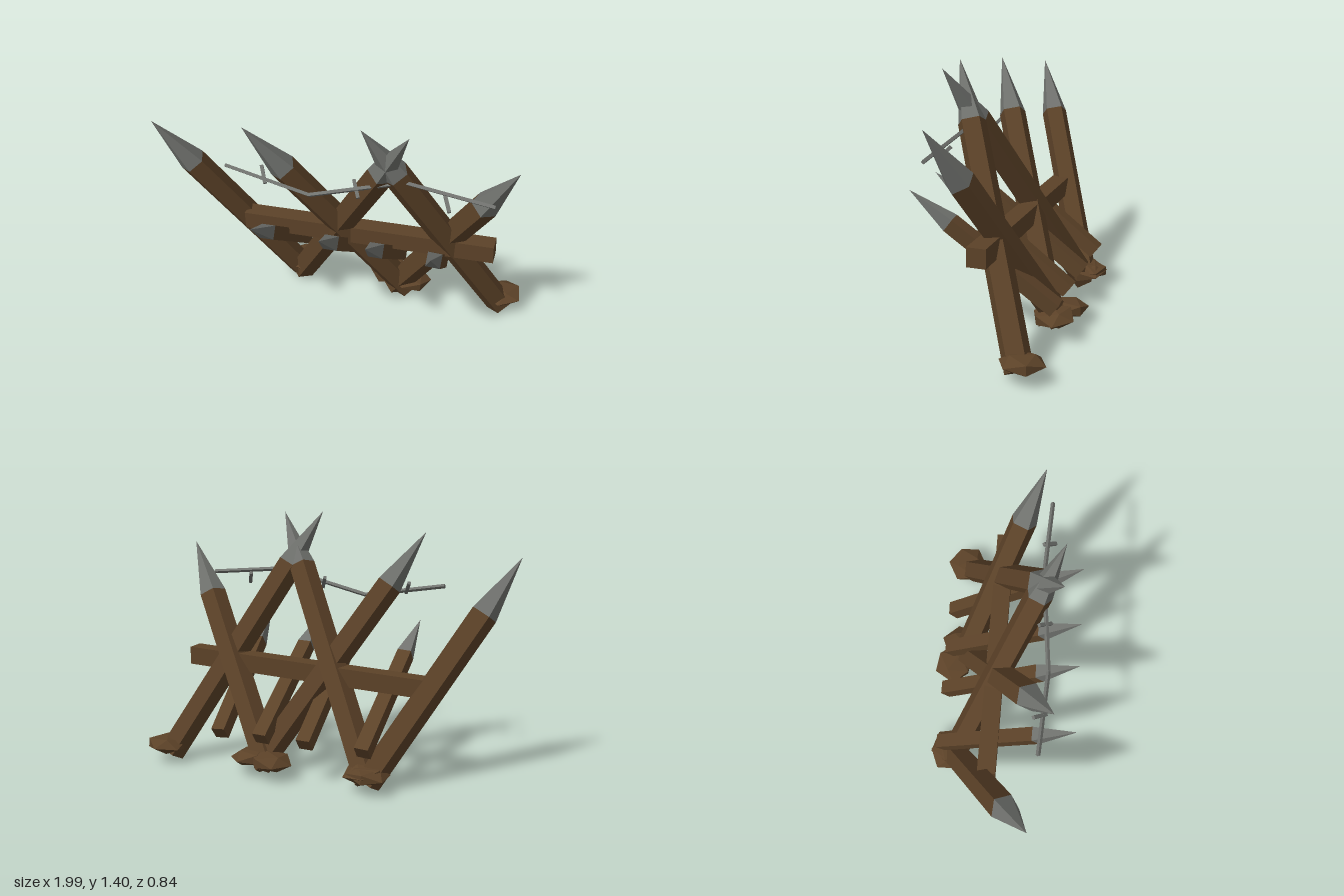
import * as THREE from 'three';

const wood = new THREE.MeshStandardMaterial({ color: 0x5c4228, flatShading: true, name: 'wood' });
const metal = new THREE.MeshStandardMaterial({ color: 0x70726e, flatShading: true, name: 'metal' });
const UP = new THREE.Vector3(0, 1, 0);
const vec = (p) => new THREE.Vector3(...p);

// Place a y-aligned geometry between two points
function between(geometry, material, a, b, name) {
  const mesh = new THREE.Mesh(geometry, material);
  mesh.position.copy(a).add(b).multiplyScalar(0.5);
  mesh.quaternion.setFromUnitVectors(UP, b.clone().sub(a).normalize());
  mesh.name = name;
  return mesh;
}

// Wooden shaft with a metal point
function stake(from, to, radius, tipLength, sides, turn, name) {
  const group = new THREE.Group();
  group.name = name;
  const a = vec(from), b = vec(to);
  const shoulder = b.clone().addScaledVector(b.clone().sub(a).normalize(), -tipLength);
  const shaft = new THREE.CylinderGeometry(radius, radius, a.distanceTo(shoulder), sides).rotateY(turn);
  const tip = new THREE.ConeGeometry(radius, tipLength, sides).rotateY(turn);
  group.add(between(shaft, wood, a, shoulder, 'shaft'), between(tip, metal, shoulder, b, 'tip'));
  return group;
}

export function createModel() {
  const model = new THREE.Group();
  model.name = 'barricade';

  // Large crossed stakes
  const large = [
    [[-0.33, 0.035, -0.28], [-1.0, 1.2, 0.175]],
    [[0.32, 0.035, -0.27], [-0.45, 1.3, 0.27]],
    [[-0.33, 0.035, -0.27], [0.41, 1.38, 0.285]],
    [[0.88, 0.035, -0.27], [0.17, 1.39, 0.285]],
    [[0.25, 0.035, -0.28], [0.94, 1.2, 0.165]],
  ];
  for (const [a, b] of large) model.add(stake(a, b, 0.077, 0.35, 5, 0, 'largeStake'));

  // Small stakes pointing forward
  const small = [[-0.33, -0.38], [0.0, -0.01], [0.26, 0.235], [0.51, 0.57]];
  for (const [x0, x1] of small) {
    model.add(stake([x0, 0.215, -0.345], [x1, 0.783, 0.413], 0.055, 0.265, 4, Math.PI / 4, 'smallStake'));
  }

  // Cross beam
  const beam = new THREE.Mesh(new THREE.BoxGeometry(1.42, 0.1, 0.1), wood);
  beam.position.set(0.13, 0.545, -0.05);
  beam.rotation.set(0, -0.008, 0.035);
  beam.name = 'crossBeam';
  model.add(beam);

  // Flattened lumps around the stake feet
  const feet = [[-0.345, -0.3], [-0.32, -0.29], [0.21, -0.32], [0.345, -0.285], [0.89, -0.29]];
  feet.forEach(([x, z], i) => {
    const lump = new THREE.Mesh(new THREE.IcosahedronGeometry(0.122).rotateY(i * 1.3), wood);
    lump.scale.y = 0.4;
    lump.position.set(x, 0.09, z);
    lump.rotation.z = i % 2 ? -0.1 : 0.1;
    lump.name = 'footLump';
    model.add(lump);
  });

  // Wire strung between the tips
  const wire = [[-0.58, 1.02, 0.21], [-0.11, 0.937, 0.24], [0.38, 1.065, 0.185], [0.84, 1.018, 0.21]].map(vec);
  for (let i = 0; i < 3; i++) {
    const a = wire[i], b = wire[i + 1];
    model.add(between(new THREE.CylinderGeometry(0.012, 0.012, a.distanceTo(b), 4), metal, a, b, 'wire'));
  }

  // Barbs on the wire
  for (const x of [-0.37, 0.13, 0.6]) {
    const a = vec([x - 0.02, 1.03, 0.175]), b = vec([x + 0.02, 0.965, 0.24]);
    model.add(between(new THREE.CylinderGeometry(0.013, 0.013, a.distanceTo(b), 4), metal, a, b, 'barb'));
  }
  return model;
}
